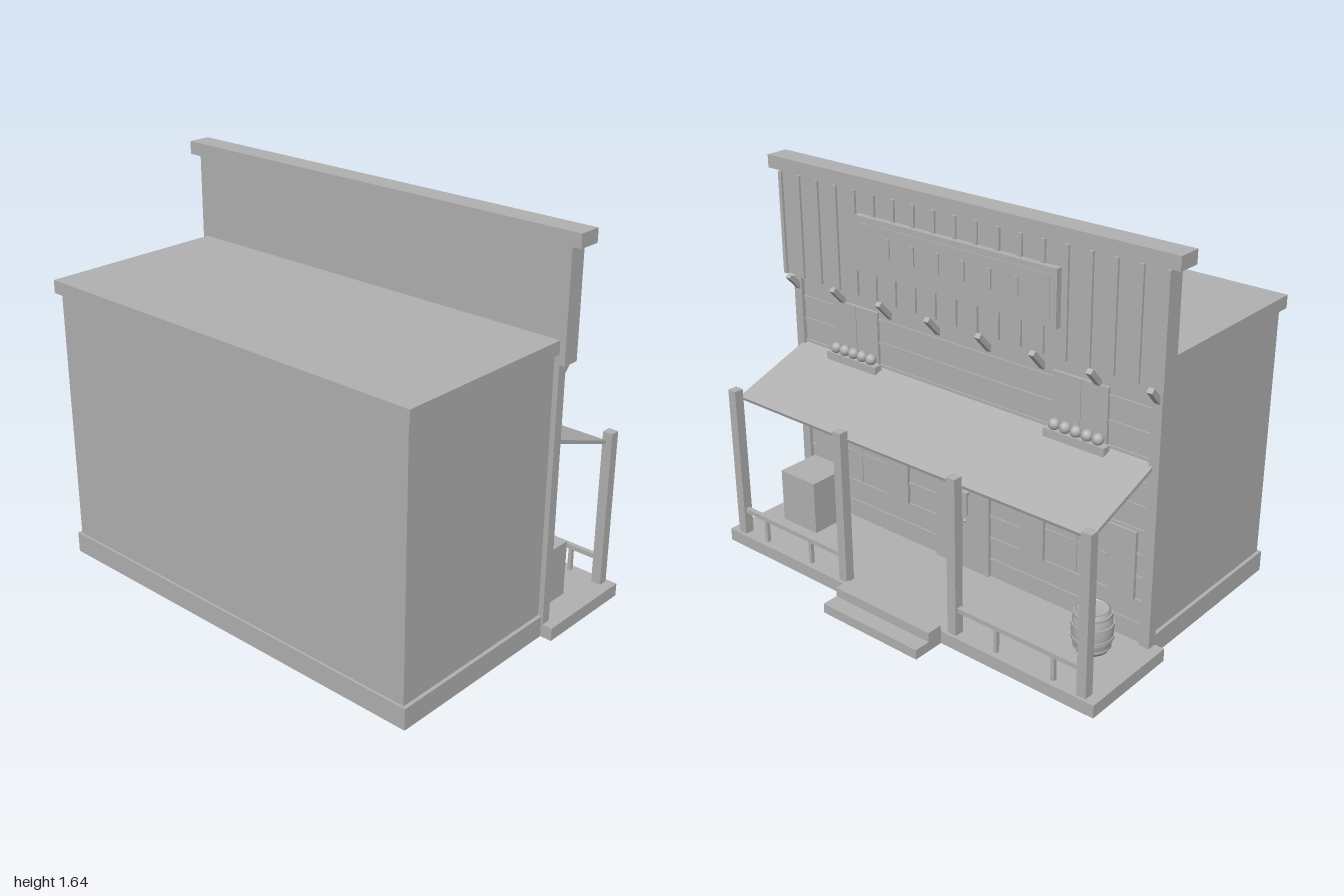
import * as THREE from 'three';

export function createModel() {
  const model = new THREE.Group();
  const grey = new THREE.MeshStandardMaterial({ color: 0xb0b0b0 });
  grey.name = 'plain grey';

  const add = (name, geometry, parent = model) => {
    const mesh = new THREE.Mesh(geometry, grey);
    mesh.name = name;
    parent.add(mesh);
    return mesh;
  };
  // Box given by its minimum and maximum on each axis
  const box = (name, x0, x1, y0, y1, z0, z1, parent) => {
    const mesh = add(name, new THREE.BoxGeometry(x1 - x0, y1 - y0, z1 - z0), parent);
    mesh.position.set((x0 + x1) / 2, (y0 + y1) / 2, (z0 + z1) / 2);
    return mesh;
  };
  const group = (name) => {
    const g = new THREE.Group();
    g.name = name;
    model.add(g);
    return g;
  };

  // Building body
  box('body', -0.91, 0.91, 0.01, 1.18, -0.11, 0.69);
  box('plinth', -0.925, 0.925, 0, 0.09, -0.11, 0.7);
  box('flatRoof', -0.93, 0.93, 1.18, 1.235, -0.11, 0.71);

  // Porch floor and steps
  box('porchFloor', -0.975, 0.975, 0, 0.055, -0.565, -0.11);
  box('upperStep', -0.25, 0.25, 0, 0.082, -0.635, -0.565);
  box('lowerStep', -0.25, 0.25, 0, 0.042, -0.707, -0.635);

  // Facade wall with horizontal boards and corner trims
  box('facadeWall', -0.91, 0.91, 0.055, 1.14, -0.135, -0.11);
  const siding = group('siding');
  for (let y = 0.13; y < 1.13; y += 0.1)
    box('sidingStrip', -0.9, 0.9, y, y + 0.012, -0.141, -0.135, siding);
  for (const s of [-1, 1]) {
    const x = s * 0.91;
    box('cornerTrim', x - 0.022, x + 0.022, 0.055, 1.14, -0.152, -0.11);
  }

  // False front with vertical battens, cap and sign board
  box('falseFront', -0.955, 0.955, 1.14, 1.59, -0.176, -0.11);
  box('falseFrontCap', -1, 1, 1.59, 1.645, -0.195, -0.095);
  const battens = group('battens');
  for (let i = 0; i < 19; i++) {
    const x = -0.946 + i * 0.1051;
    box('batten', x - 0.009, x + 0.009, 1.14, 1.58, -0.186, -0.176, battens);
  }
  box('signBoard', -0.5, 0.5, 1.26, 1.49, -0.203, -0.176);
  box('signPanel', -0.47, 0.47, 1.285, 1.465, -0.206, -0.203);
  const pegs = group('signPegs');
  for (let i = 0; i < 6; i++) {
    const x = (i - 2.5) * 0.128;
    box('signPeg', x - 0.01, x + 0.01, 1.345, 1.425, -0.213, -0.206, pegs);
  }

  // Slanted brackets below the false front
  const brackets = group('brackets');
  for (let i = 0; i < 8; i++) {
    const b = add('bracket', new THREE.BoxGeometry(0.024, 0.105, 0.022), brackets);
    b.position.set((i - 3.5) * 0.26, 1.1, -0.164);
    b.rotation.x = -0.74;
  }

  // Sloping porch roof
  const slope = Math.atan2(0.135, 0.385);
  const awning = add('porchRoof', new THREE.BoxGeometry(1.81, 0.015, 0.41));
  awning.position.set(0, 0.755, -0.32);
  awning.rotation.x = -slope;

  // Porch posts, rails and balusters
  for (const x of [-0.91, -0.295, 0.295, 0.91])
    box('porchPost', x - 0.021, x + 0.021, 0.055, 0.73, -0.553, -0.511);
  for (const s of [-1, 1]) {
    const c = s * 0.6025;
    box('railing', c - 0.29, c + 0.29, 0.155, 0.175, -0.542, -0.522);
    for (const x of [s * 0.5, s * 0.77])
      box('baluster', x - 0.008, x + 0.008, 0.055, 0.155, -0.54, -0.524);
  }

  // Upper windows with flower boxes
  for (const s of [-1, 1]) {
    const c = s * 0.575;
    box('upperWindow', c - 0.125, c + 0.125, 0.8, 1.07, -0.148, -0.135);
    box('windowDivider', c - 0.005, c + 0.005, 0.84, 1.07, -0.151, -0.148);
    box('flowerBox', c - 0.14, c + 0.14, 0.8, 0.845, -0.186, -0.148);
    for (let i = 0; i < 5; i++) {
      const f = add('flower', new THREE.SphereGeometry(0.024, 10, 8));
      f.position.set(c + (i - 2) * 0.05, 0.865, -0.167);
    }
  }

  // Ground floor windows with shutters
  for (const s of [-1, 1]) {
    const c = s * 0.575;
    box('lowerWindow', c - 0.15, c + 0.15, 0.25, 0.52, -0.143, -0.135);
    box('windowBar', c - 0.006, c + 0.006, 0.25, 0.52, -0.147, -0.143);
    box('windowBar', c - 0.15, c + 0.15, 0.38, 0.392, -0.147, -0.143);
    for (const d of [-0.215, 0.215])
      box('shutter', c + d - 0.06, c + d + 0.06, 0.24, 0.53, -0.15, -0.135);
  }

  // Double door
  for (const s of [-1, 1]) {
    const c = s * 0.073;
    box('door', c - 0.07, c + 0.07, 0.055, 0.56, -0.15, -0.135);
    const knob = add('doorKnob', new THREE.SphereGeometry(0.009, 8, 6));
    knob.position.set(s * 0.02, 0.28, -0.154);
  }
  box('doorLintel', -0.16, 0.16, 0.56, 0.585, -0.152, -0.135);

  // Hanging strap beside a post
  box('hangingStrap', -0.336, -0.324, 0.57, 0.66, -0.508, -0.5);
  box('strapHook', -0.34, -0.295, 0.655, 0.667, -0.514, -0.495);

  // Crate
  box('crate', 0.66, 0.86, 0.055, 0.295, -0.355, -0.155);

  // Barrel with hoops
  const barrel = group('barrel');
  barrel.position.set(-0.757, 0.055, -0.275);
  const profile = [[0, 0], [0.066, 0], [0.078, 0.04], [0.083, 0.088], [0.078, 0.135],
    [0.066, 0.175], [0.06, 0.175], [0.06, 0.168], [0, 0.168]];
  add('barrelBody', new THREE.LatheGeometry(profile.map(([r, y]) => new THREE.Vector2(r, y)), 16), barrel);
  for (const [r, y] of [[0.073, 0.02], [0.083, 0.06], [0.083, 0.115], [0.073, 0.155]]) {
    const hoop = add('barrelHoop', new THREE.CylinderGeometry(r + 0.002, r + 0.002, 0.012, 16, 1), barrel);
    hoop.position.y = y;
  }

  return model;
}
